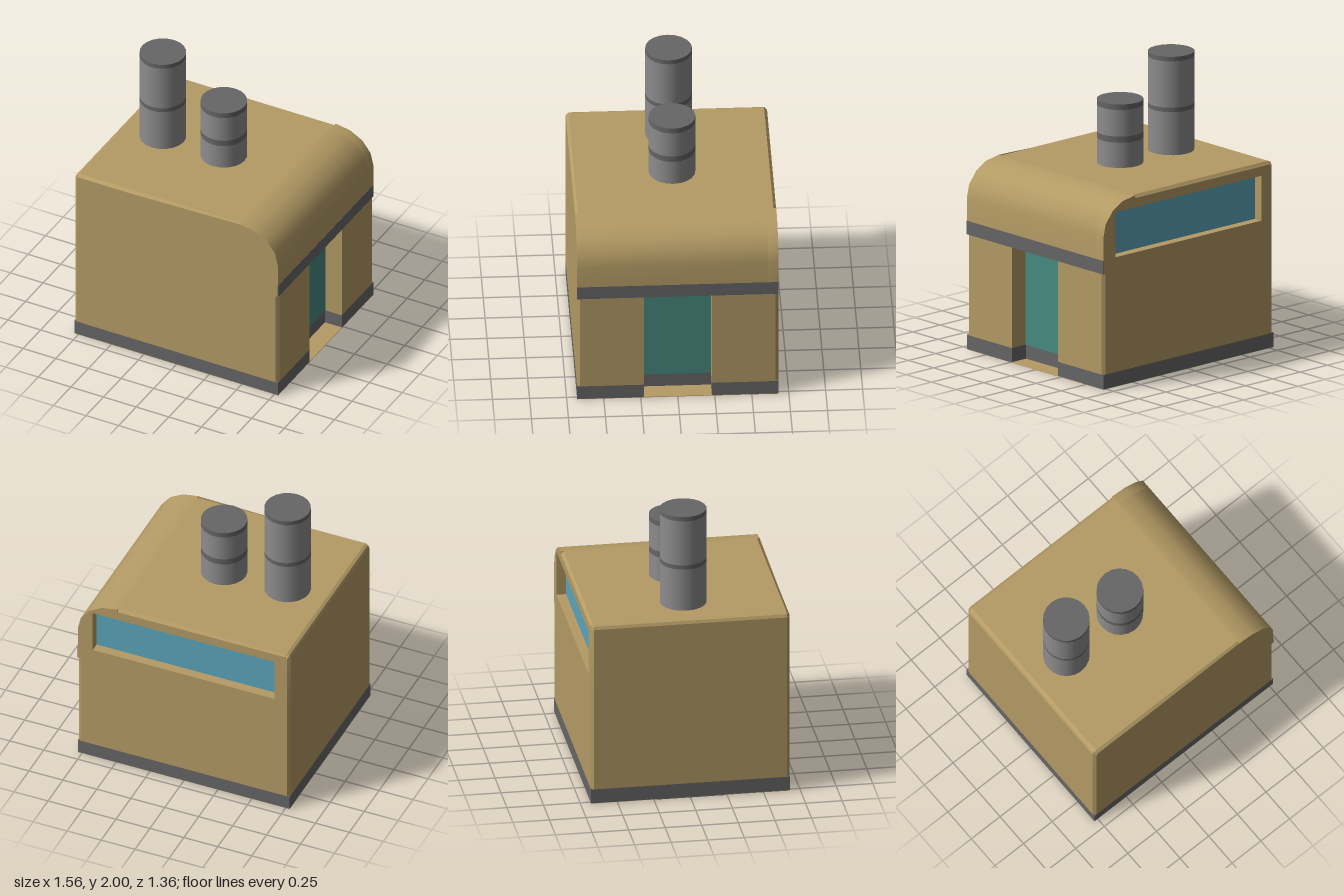
import * as THREE from 'three';
import { toCreasedNormals } from 'three/addons/utils/BufferGeometryUtils.js';

const material = (name, color) => {
  const m = new THREE.MeshStandardMaterial({ color });
  m.name = name;
  return m;
};

// Main dimensions
const W = 0.78, D = 0.68, H = 1.31;
const BASE_H = 0.105, DOOR_TOP = 0.81, DOOR_X = 0.65, DOOR_Z = 0.23;
const WINDOW_Z = -0.61, BEVEL = 0.02;

export function createModel() {
  const group = new THREE.Group();
  const tan = material('tan wall', 0xb49b65);
  const dark = material('dark grey trim', 0x676666);
  const grey = material('grey chimney', 0x8e8c8d);
  const teal = material('teal door', 0x478a80);
  const blue = material('blue glass', 0x5aa5bb);

  const add = (name, geometry, mat) => {
    const mesh = new THREE.Mesh(geometry, mat);
    mesh.name = name;
    group.add(mesh);
    return mesh;
  };
  const box = (name, mat, x0, x1, y0, y1, z0, z1) =>
    add(name, new THREE.BoxGeometry(x1 - x0, y1 - y0, z1 - z0), mat)
      .position.set((x0 + x1) / 2, (y0 + y1) / 2, (z0 + z1) / 2);
  const shapeOf = (points) => new THREE.Shape(points.map(([x, y]) => new THREE.Vector2(x, y)));

  // Floor plan with the door notch in the +x wall; b chamfers the outer corners
  const plan = (b, y0, y1) => {
    const c = b ? [[W, D - b], [W - b, D], [-W + b, D], [-W, D - b]] : [[W, D], [-W, D]];
    const mirrored = c.map(([x, z]) => [x, -z]).reverse();
    const shape = shapeOf([[DOOR_X, -DOOR_Z], [DOOR_X, DOOR_Z], [W, DOOR_Z], ...c, ...mirrored, [W, -DOOR_Z]]);
    return new THREE.ExtrudeGeometry(shape, { depth: y1 - y0, bevelEnabled: false })
      .rotateX(-Math.PI / 2).translate(0, y0, 0);
  };
  add('base', plan(0, 0.004, BASE_H), dark);
  add('lowerWalls', plan(BEVEL, BASE_H, DOOR_TOP), tan);

  // Side profile of the upper body, with the rounded roof edge towards +x
  const profile = () => {
    const points = [[-W, DOOR_TOP], [W, DOOR_TOP]];
    for (let i = 0; i <= 4; i++) {
      const a = (i / 4) * Math.PI / 2;
      points.push([0.49 + 0.29 * Math.cos(a), 1.06 + 0.25 * Math.sin(a)]);
    }
    points.push([0.485, H], [-0.75, H], [-0.77, 1.30], [-W, 1.28]);
    return shapeOf(points);
  };
  // Extrude from z0 to z1, then chamfer the end that lies on the outer wall
  const upper = (shape, z0, z1) => {
    const depth = z1 - z0;
    const g = new THREE.ExtrudeGeometry(shape, { depth, steps: 2, bevelEnabled: false });
    g.translate(0, 0, z0);
    const p = g.attributes.position;
    const outer = Math.abs(z1 - D) < 0.001 ? D : -D;
    for (let i = 0; i < p.count; i++) {
      const x = p.getX(i), y = p.getY(i), z = p.getZ(i);
      if (Math.abs(z - (z0 + z1) / 2) < 0.001) p.setZ(i, outer - Math.sign(outer) * BEVEL);
      if (Math.abs(z - outer) < 0.001) {
        if (x < -0.755) p.setX(i, x + BEVEL);
        if (y > 1.295 && x < 0.488) p.setY(i, y - BEVEL);
      }
    }
    return toCreasedNormals(g, 0.45);
  };
  add('upperBody', upper(profile(), WINDOW_Z, D), tan);

  // Back wall slab with the window opening
  const backShape = profile();
  backShape.holes.push(new THREE.Path(
    [[-0.67, 0.91], [-0.67, 1.225], [0.67, 1.225], [0.67, 0.91]].map(([x, y]) => new THREE.Vector2(x, y))));
  add('windowWall', upper(backShape, -D, WINDOW_Z), tan);
  box('windowGlass', blue, -0.67, 0.67, 0.91, 1.225, WINDOW_Z - 0.005, WINDOW_Z);

  // Door, lintel band and underside
  box('door', teal, DOOR_X, DOOR_X + 0.005, BASE_H, DOOR_TOP, -DOOR_Z, DOOR_Z);
  box('lintelBand', dark, W - 0.002, W + 0.002, DOOR_TOP, 0.905, -D, D);
  box('floor', tan, -W, W, 0.002, 0.006, -D, D);
  box('floorStrip', dark, -W, DOOR_X, 0, 0.004, -DOOR_Z, DOOR_Z);

  // Chimneys: stacked sections, with flush dark rings
  const chimney = (name, x, levels) => {
    const stack = new THREE.Group();
    stack.name = name;
    stack.position.x = x;
    for (let i = 0; i < levels.length - 1; i++) {
      const h = levels[i + 1] - levels[i], ring = i % 2 === 1;
      const g = new THREE.CylinderGeometry(0.158, 0.158, h, 20, 1, !ring);
      const section = new THREE.Mesh(g, ring ? dark : grey);
      section.name = ring ? 'chimneyRing' : 'chimneyShaft';
      section.position.y = levels[i] + h / 2;
      stack.add(section);
    }
    group.add(stack);
  };
  chimney('tallChimney', -0.467, [1.30, 1.612, 1.643, 1.968, 2.0]);
  chimney('shortChimney', 0, [1.30, 1.487, 1.53, 1.717, 1.755]);

  return group;
}
